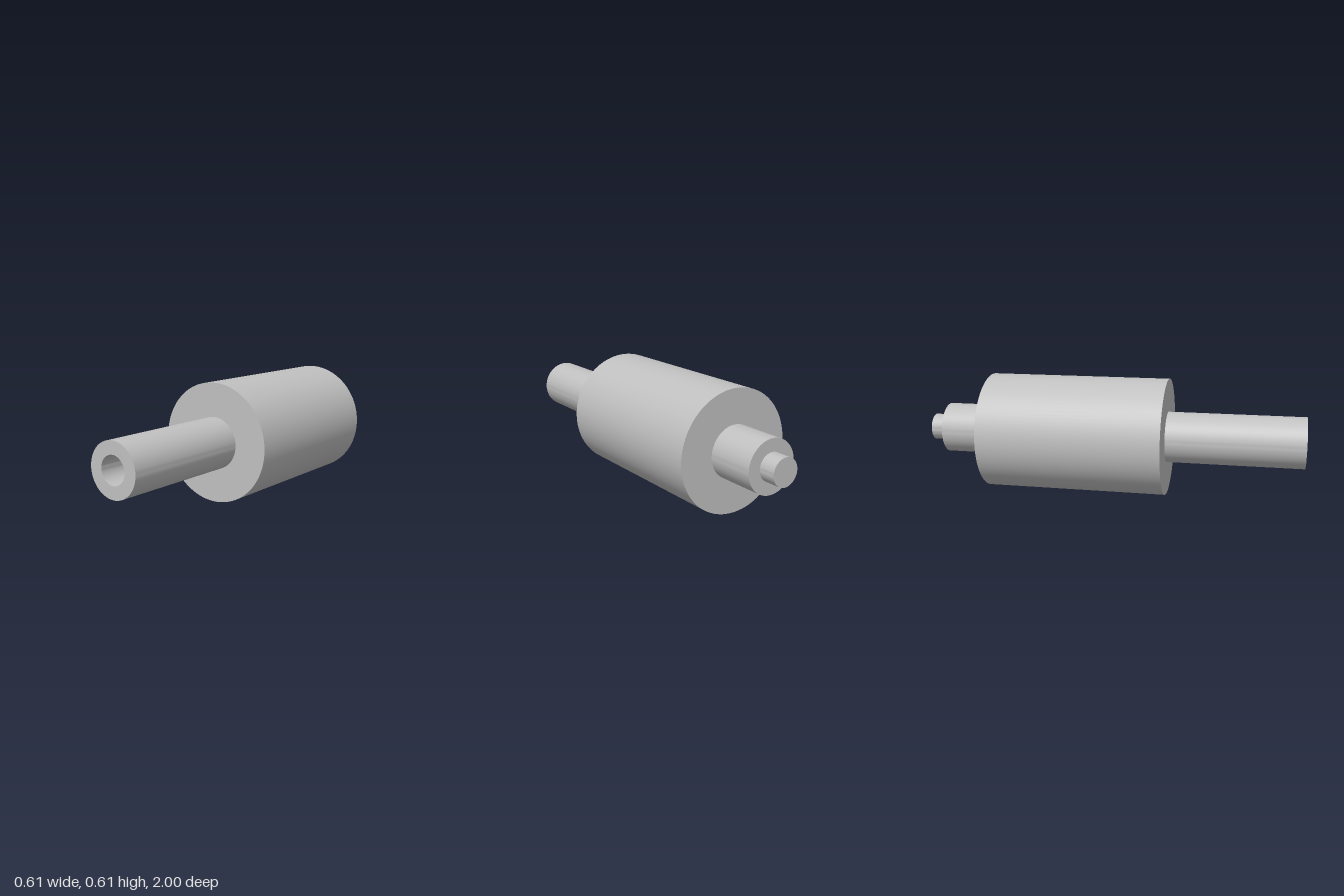
import * as THREE from 'three';
import { toCreasedNormals } from 'three/addons/utils/BufferGeometryUtils.js';

const DRUM_R = 0.304, SHAFT_R = 0.132, PIN_R = 0.069;
const BORE_DEPTH = 0.2;

export function createModel() {
  const group = new THREE.Group();
  group.name = 'roller';
  const steel = new THREE.MeshStandardMaterial({ color: 0xc0c0c0 });
  steel.name = 'grey steel';

  // Turned part: profile of [radius, z] points, listed from back to front
  function turned(name, profile) {
    const points = profile.map(([r, z]) => new THREE.Vector2(r, z));
    const lathe = new THREE.LatheGeometry(points, 96).rotateX(Math.PI / 2);
    const mesh = new THREE.Mesh(toCreasedNormals(lathe, 0.6), steel);
    mesh.name = name;
    mesh.position.y = DRUM_R;
    group.add(mesh);
  }

  // Small locating pin at the back end
  turned('rearPin', [[0, -1], [PIN_R, -1], [PIN_R, -0.913]]);

  // Short rear journal with its shoulder around the pin
  turned('rearJournal', [[PIN_R, -0.913], [SHAFT_R, -0.913], [SHAFT_R, -0.66]]);

  // Main drum with ring-shaped end faces
  turned('drum', [[SHAFT_R, -0.66], [DRUM_R, -0.66], [DRUM_R, 0.295], [SHAFT_R, 0.295]]);

  // Long front journal with a blind bore in its end
  turned('frontJournal', [
    [SHAFT_R, 0.295], [SHAFT_R, 1], [PIN_R, 1],
    [PIN_R, 1 - BORE_DEPTH], [0, 1 - BORE_DEPTH],
  ]);

  return group;
}
